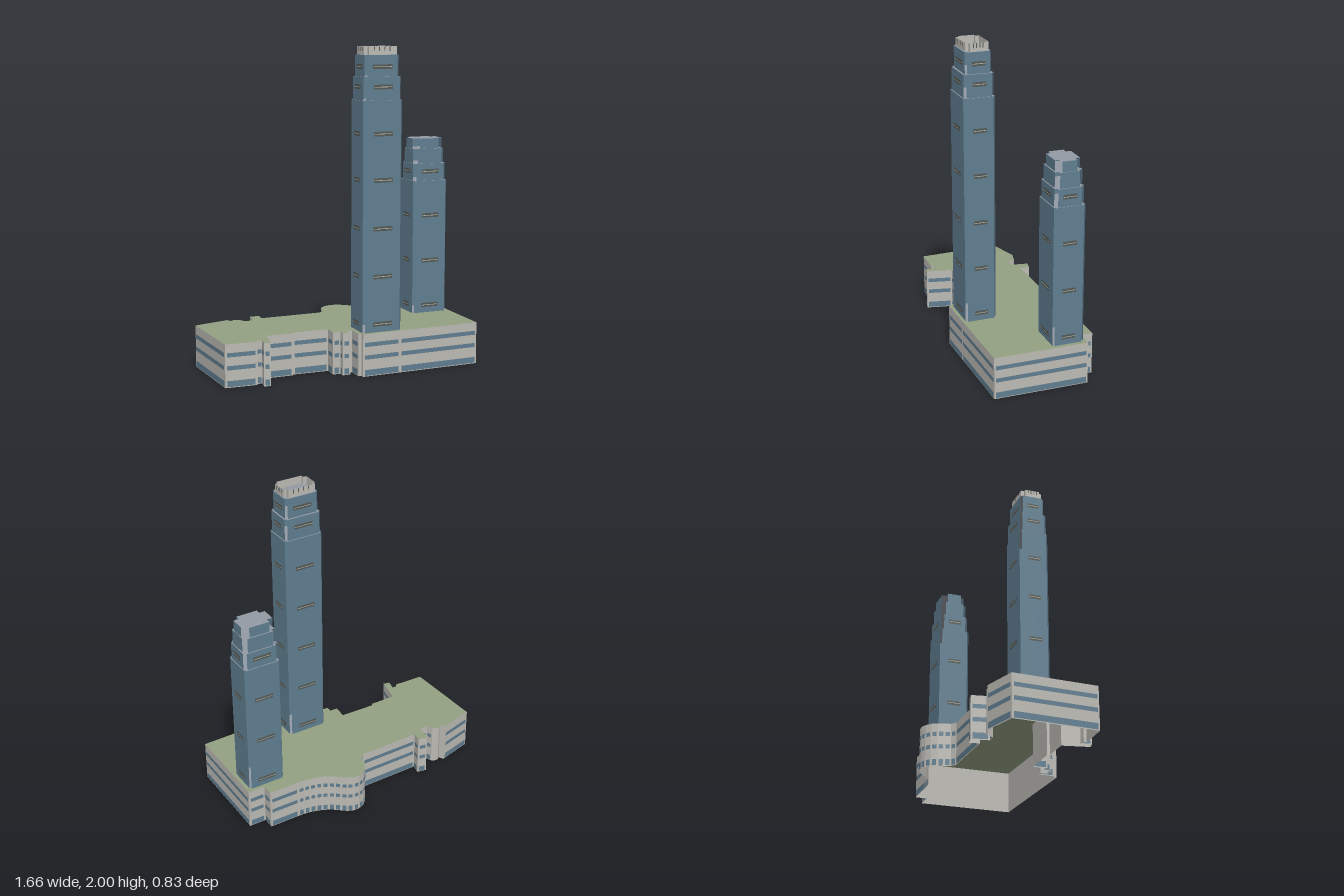
import * as THREE from 'three';

const mat = (name, color) => {
  const m = new THREE.MeshStandardMaterial({ color, side: THREE.DoubleSide });
  m.name = name;
  return m;
};

export function createModel() {
  const glass = mat('blue glass', 0x607e91);
  const concrete = mat('light concrete', 0xbcbab4);
  const green = mat('roof green', 0x92a081);
  const slate = mat('tower roof grey', 0x929aa3);
  const louvre = mat('dark louvre', 0x545a55);
  const model = new THREE.Group();
  model.name = 'towerComplex';

  const add = (parent, name, geometry, material) => {
    const m = new THREE.Mesh(geometry, material);
    m.name = name;
    parent.add(m);
    return m;
  };
  // upright panel centred on (x, z), facing (nx, nz)
  const panel = (parent, name, material, x, z, nx, nz, width, y0, y1) => {
    const m = add(parent, name, new THREE.PlaneGeometry(width, y1 - y0), material);
    m.position.set(x, (y0 + y1) / 2, z);
    m.rotation.y = Math.atan2(nx, nz);
  };
  // horizontal slab face from a list of [x, z] points
  const slab = (parent, name, material, points, y) => {
    const shape = new THREE.Shape(points.map(([x, z]) => new THREE.Vector2(x, -z)));
    const m = add(parent, name, new THREE.ShapeGeometry(shape).rotateX(-Math.PI / 2), material);
    m.position.y = y;
  };
  // walls around a closed outline
  const eachSide = (points, fn) => points.forEach(([ax, az], i) => {
    const [bx, bz] = points[(i + 1) % points.length];
    const len = Math.hypot(bx - ax, bz - az);
    fn((ax + bx) / 2, (az + bz) / 2, (bz - az) / len, (ax - bx) / len, len);
  });

  // podium: straight runs plus a curved bulge at the back
  const H = 0.265;
  const bulge = new THREE.SplineCurve([
    [0.02, -0.24], [0.05, -0.262], [0.066, -0.33], [0.09, -0.375], [0.13, -0.405], [0.18, -0.415],
    [0.23, -0.4], [0.3, -0.342], [0.37, -0.302], [0.45, -0.28], [0.52, -0.275],
  ].map(([x, z]) => new THREE.Vector2(x, z))).getSpacedPoints(16).map((p) => [p.x, p.y]);
  const outline = [
    [-0.83, -0.21], [-0.605, -0.27], [-0.588, -0.24], [-0.57, -0.253], [-0.545, -0.254],
    [-0.525, -0.24], [-0.51, -0.2], [-0.455, -0.2], [-0.435, -0.308], [-0.375, -0.296], [-0.387, -0.235],
    ...bulge,
    [0.72, -0.275], [0.72, -0.2], [0.83, -0.2], [0.83, 0.395], [0.29, 0.405], [0.04, 0.41],
    [0.04, 0.385], [0.02, 0.385], [0.02, 0.285], [-0.01, 0.285], [-0.01, 0.33], [-0.06, 0.33],
    [-0.06, 0.29], [-0.108, 0.29], [-0.103, 0.2], [-0.335, 0.195], [-0.34, 0.21], [-0.51, 0.21],
    [-0.545, 0.375], [-0.585, 0.367], [-0.573, 0.302], [-0.61, 0.305], [-0.612, 0.322], [-0.81, 0.315],
  ];
  const podium = new THREE.Group();
  podium.name = 'podium';
  model.add(podium);
  slab(podium, 'podiumRoof', green, outline, H);
  eachSide(outline, (x, z, nx, nz, len) => {
    panel(podium, 'podiumWall', concrete, x, z, nx, nz, len, 0, H);
    if (len < 0.035) return;
    const width = len - 2 * Math.min(0.011, len * 0.18);
    for (const [y0, y1] of [[0.005, 0.042], [0.107, 0.133], [0.186, 0.212]])
      panel(podium, 'windowBand', glass, x + nx * 0.002, z + nz * 0.002, nx, nz, width, y0, y1);
  });

  // plan with notched corners: outer half sizes W, D and bay half widths w, d
  const cross = (W, D, w, d) => [
    [-w, -D], [w, -D], [w, -d], [W, -d], [W, d], [w, d],
    [w, D], [-w, D], [-w, d], [-W, d], [-W, -d], [-w, -d],
  ];

  // tower: stacked tiers with open notched corners and louvred plant floors
  function tower(name, x, z, tiers, louvres, lw, ld) {
    const g = new THREE.Group();
    g.name = name;
    g.position.set(x, 0, z);
    model.add(g);
    let y0 = H;
    slab(g, 'towerFloor', slate, cross(...tiers[0].slice(1)), y0 + 0.002);
    for (const [y1, W, D, w, d] of tiers) {
      for (const s of [-1, 1]) {
        panel(g, 'glassBay', glass, 0, s * D, 0, s, 2 * w, y0, y1);
        panel(g, 'glassBay', glass, s * W, 0, s, 0, 2 * d, y0, y1);
      }
      slab(g, 'tierRoof', slate, cross(W, D, w, d), y1);
      for (const y of louvres.filter((v) => v > y0 && v < y1)) {
        for (const s of [-1, 1]) {
          const plates = [[louvre, 0.014, 0.003, 1], [concrete, 0.002, 0.005, 0.94]];
          for (const [m, h, out, k] of plates) {
            panel(g, 'louvreBand', m, 0, s * (D + out), 0, s, 2 * lw * k, y - h, y + h);
            panel(g, 'louvreBand', m, s * (W + out), 0, s, 0, 2 * ld * k, y - h, y + h);
          }
        }
      }
      y0 = y1;
    }
    return g;
  }

  const tall = tower('tallTower', 0.178, 0.288, [
    [1.68, 0.128, 0.098, 0.117, 0.086],
    [1.82, 0.122, 0.092, 0.111, 0.079],
    [1.95, 0.112, 0.08, 0.099, 0.07],
  ], [0.315, 0.61, 0.905, 1.2, 1.48, 1.76, 1.88], 0.063, 0.042);

  tower('shortTower', 0.687, -0.08, [
    [1.13, 0.118, 0.098, 0.11, 0.087],
    [1.24, 0.114, 0.092, 0.098, 0.074],
    [1.335, 0.108, 0.085, 0.086, 0.061],
    [1.4, 0.104, 0.077, 0.067, 0.046],
  ], [0.315, 0.61, 0.905, 1.19], 0.06, 0.043);

  // open parapet crown with narrow slots
  eachSide(cross(0.108, 0.072, 0.086, 0.05), (x, z, nx, nz, len) => {
    panel(tall, 'crownWall', concrete, x, z, nx, nz, len, 1.95, 2);
    if (len < 0.05) return;
    for (const k of [-0.3, -0.1, 0.1, 0.3])
      panel(tall, 'crownSlot', louvre, x + nx * 0.002 - nz * k * len, z + nz * 0.002 + nx * k * len,
        nx, nz, 0.006, 1.972, 2);
  });

  return model;
}
